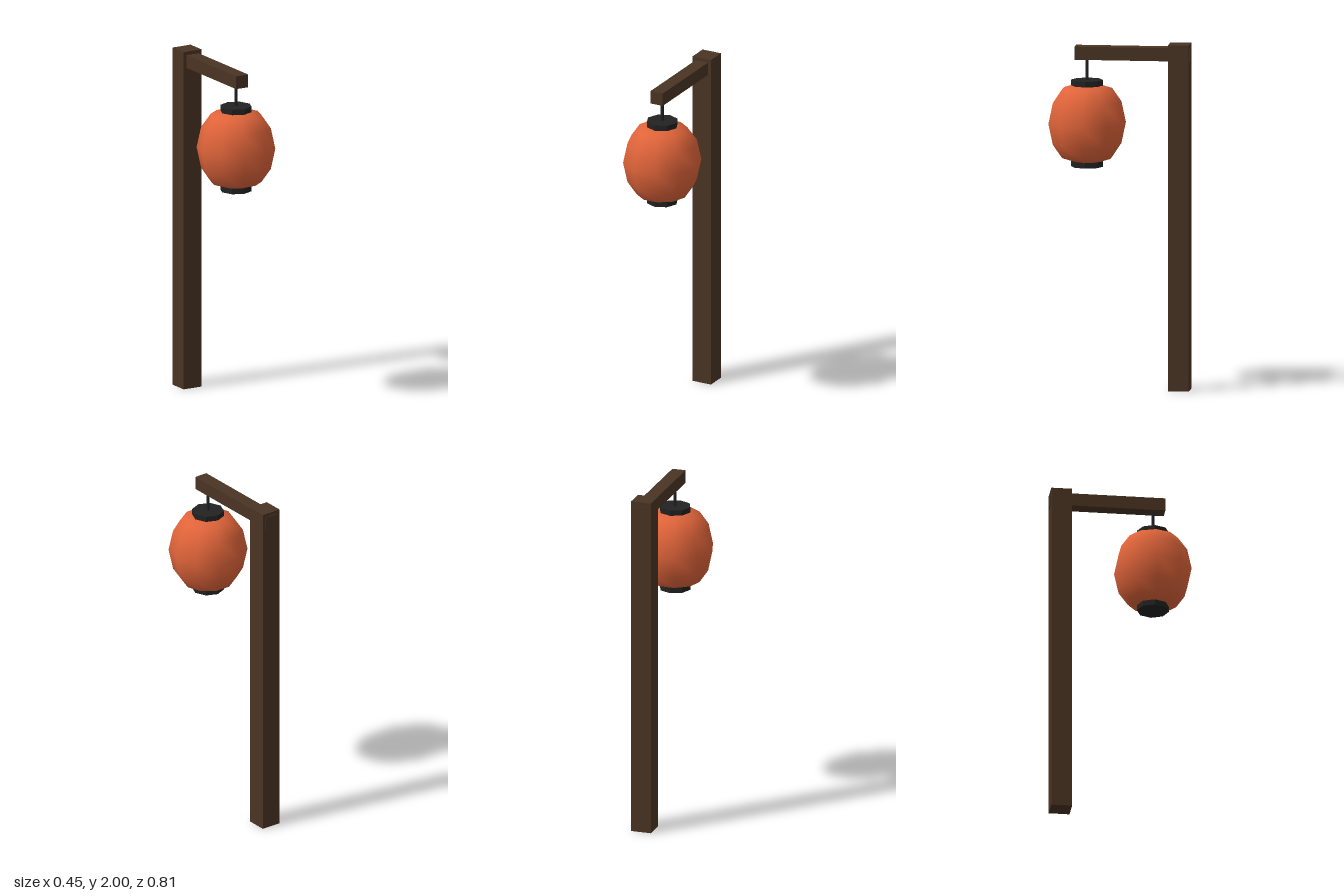
import * as THREE from 'three';

export function createModel() {
  const model = new THREE.Group();
  const mat = (name, color, extra = {}) => {
    const m = new THREE.MeshStandardMaterial({ color, ...extra });
    m.name = name;
    return m;
  };
  const wood = mat('darkWood', 0x4a3423);
  const iron = mat('blackIron', 0x222222);
  const paper = mat('orangePaper', 0xe0643a);

  const add = (name, geometry, material, x, y, z, parent = model) => {
    const mesh = new THREE.Mesh(geometry, material);
    mesh.name = name;
    mesh.position.set(x, y, z);
    parent.add(mesh);
    return mesh;
  };

  // Square post and the arm that passes through its top
  add('post', new THREE.BoxGeometry(0.12, 2, 0.12), wood, 0, 1, -0.343);
  add('arm', new THREE.BoxGeometry(0.08, 0.076, 0.665), wood, 0, 1.942, -0.075);

  // Hanging lantern, centred on its widest ring
  const lantern = new THREE.Group();
  lantern.name = 'lantern';
  lantern.position.set(0, 1.534, 0.19);
  model.add(lantern);

  // Ten-sided smooth paper shade, mirrored about its middle
  const upper = [[0.2, 0.121], [0.146, 0.199], [0.075, 0.222], [0, 0.226]];
  const profile = [
    ...upper.map(([r, y]) => new THREE.Vector2(r, -y)).reverse(),
    new THREE.Vector2(0.226, 0),
    ...upper.map(([r, y]) => new THREE.Vector2(r, y)),
  ];
  add('paperShade', new THREE.LatheGeometry(profile, 10, Math.PI / 2), paper, 0, 0, 0, lantern);

  // Eight-sided end caps and the cord up to the arm
  const cap = new THREE.CylinderGeometry(0.092, 0.092, 0.032, 8).toNonIndexed();
  cap.computeVertexNormals();
  add('topCap', cap, iron, 0, 0.234, 0, lantern);
  add('bottomCap', cap, iron, 0, -0.235, 0, lantern);
  add('cord', new THREE.CylinderGeometry(0.009, 0.009, 0.14, 6), iron, 0, 0.315, 0, lantern);

  return model;
}
